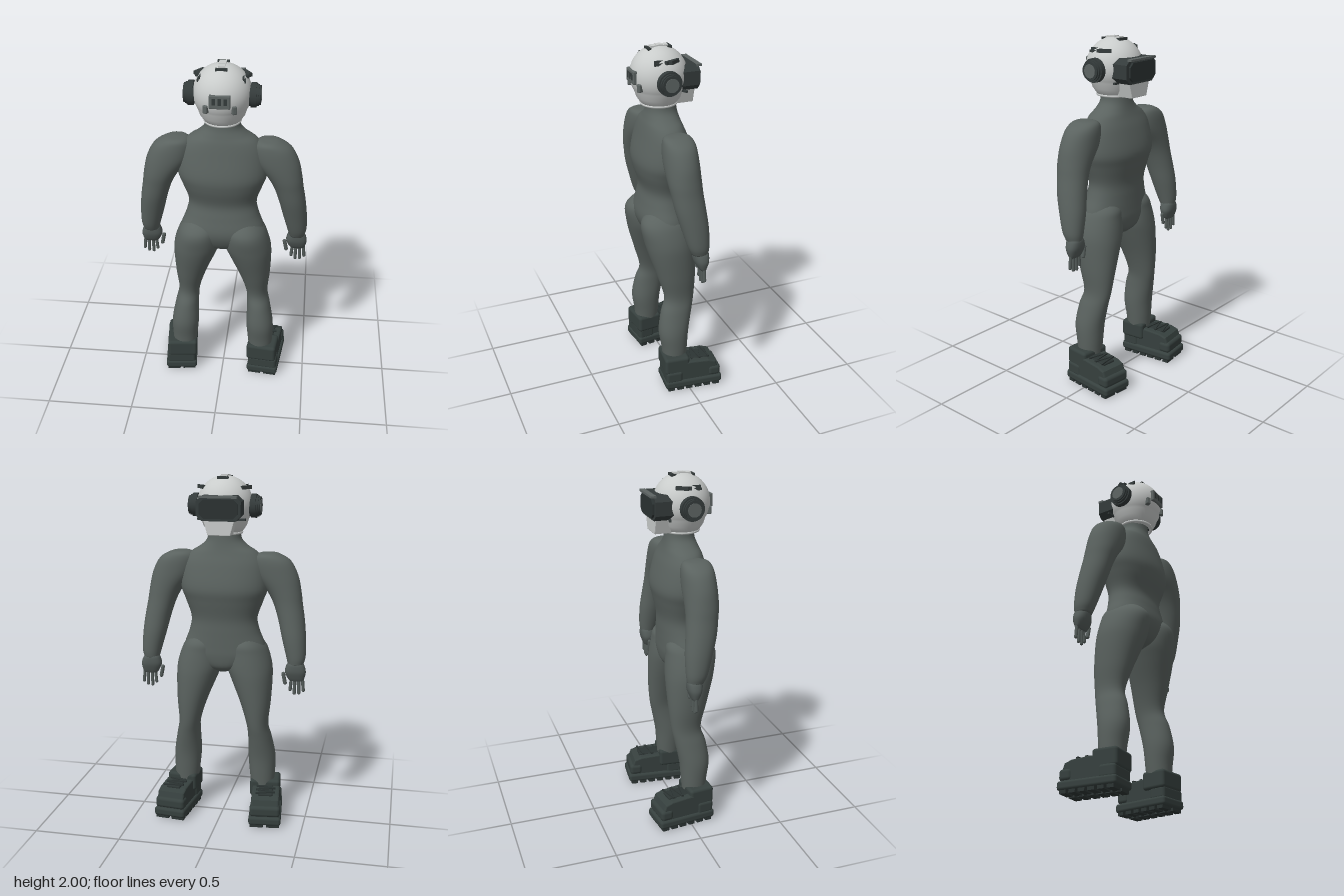
import * as THREE from 'three';
import { RoundedBoxGeometry } from 'three/addons/geometries/RoundedBoxGeometry.js';

const mat = (name, color) => Object.assign(new THREE.MeshStandardMaterial({ color }), { name });

export function createModel() {
  const suit = mat('suit grey', 0x5a625f), boot = mat('boot dark green', 0x36403e), sole = mat('sole dark', 0x2c3433);
  const shell = mat('helmet light grey', 0xc9cccb), trim = mat('trim dark', 0x343b3b), pane = mat('visor glass', 0x2b3232);
  const mid = mat('mid grey', 0x5d6463), skin = mat('glove grey', 0x535b59);
  const model = new THREE.Group();

  const add = (parent, name, geo, material, x = 0, y = 0, z = 0) => {
    const m = new THREE.Mesh(geo, material);
    m.name = name;
    m.position.set(x, y, z);
    parent.add(m);
    return m;
  };
  const box = (w, h, d) => new THREE.BoxGeometry(w, h, d);
  const rbox = (w, h, d, r) => new RoundedBoxGeometry(w, h, d, 3, r);

  // Smooth closed body through rings [y, x0, x1, z0, z1], listed from top to bottom
  function loft(rings, s = 1, power = 2.2, seg = 36) {
    const curve = (a, b) => new THREE.CatmullRomCurve3(
      rings.map(r => new THREE.Vector3(r[0], r[a], r[b])), false, 'catmullrom', 0.5);
    const cx = curve(1, 2), cz = curve(3, 4), rows = (rings.length - 1) * 5;
    const pos = [], idx = [];
    const sp = v => Math.sign(v) * Math.pow(Math.abs(v), 2 / power);
    for (let i = 0; i <= rows; i++) {
      const p = cx.getPoint(i / rows), q = cz.getPoint(i / rows);
      for (let j = 0; j < seg; j++) {
        const a = j / seg * Math.PI * 2;
        pos.push(s * (p.y + p.z) / 2 + sp(Math.cos(a)) * (p.z - p.y) / 2, p.x,
          (q.y + q.z) / 2 + sp(Math.sin(a)) * (q.z - q.y) / 2);
        const k = i * seg + j, n = i * seg + (j + 1) % seg;
        if (i < rows) idx.push(k, n, k + seg, n, n + seg, k + seg);
      }
    }
    // End caps
    for (const [r, row, top] of [[rings[0], 0, true], [rings[rings.length - 1], rows, false]]) {
      const c = pos.length / 3;
      pos.push(s * (r[1] + r[2]) / 2, r[0], (r[3] + r[4]) / 2);
      for (let j = 0; j < seg; j++) {
        const k = row * seg + j, n = row * seg + (j + 1) % seg;
        idx.push(c, top ? n : k, top ? k : n);
      }
    }
    const g = new THREE.BufferGeometry();
    g.setAttribute('position', new THREE.Float32BufferAttribute(pos, 3));
    g.setIndex(idx);
    g.computeVertexNormals();
    return g;
  }

  // Torso and neck
  const sym = (y, x, z0, z1) => [y, -x, x, z0, z1];
  add(model, 'torso', loft([
    sym(1.71, 0.09, -0.035, 0.115), sym(1.65, 0.098, -0.042, 0.122), sym(1.61, 0.135, -0.05, 0.135),
    sym(1.57, 0.195, -0.062, 0.15), sym(1.5, 0.235, -0.087, 0.168), sym(1.38, 0.25, -0.114, 0.194),
    sym(1.3, 0.225, -0.102, 0.186), sym(1.2, 0.192, -0.08, 0.158), sym(1.12, 0.205, -0.078, 0.17),
    sym(1.04, 0.235, -0.078, 0.185), sym(0.98, 0.235, -0.077, 0.175), sym(0.92, 0.14, -0.065, 0.14),
    sym(0.885, 0.04, -0.03, 0.08)]), suit);

  // Limbs, built once per side
  for (const s of [1, -1]) {
    const label = s > 0 ? 'left' : 'right';
    add(model, label + 'Arm', loft([
      [1.577, 0.24, 0.27, 0.03, 0.06], [1.568, 0.19, 0.315, -0.02, 0.115], [1.53, 0.165, 0.378, -0.04, 0.133],
      [1.45, 0.18, 0.42, -0.045, 0.14], [1.36, 0.247, 0.44, -0.045, 0.137], [1.29, 0.285, 0.45, -0.047, 0.127],
      [1.2, 0.315, 0.465, -0.056, 0.112], [1.1, 0.34, 0.476, -0.066, 0.085], [1.0, 0.367, 0.479, -0.066, 0.055],
      [0.95, 0.38, 0.468, -0.06, 0.032]], s, 2.1), suit);
    add(model, label + 'Leg', loft([
      [1.1, 0.06, 0.18, -0.04, 0.13], [1.05, 0.02, 0.228, -0.073, 0.19], [1.0, 0.01, 0.255, -0.08, 0.208],
      [0.92, 0.012, 0.278, -0.088, 0.196], [0.84, 0.042, 0.283, -0.091, 0.177], [0.7, 0.1, 0.277, -0.086, 0.135],
      [0.57, 0.14, 0.266, -0.074, 0.101], [0.48, 0.147, 0.284, -0.056, 0.126], [0.36, 0.146, 0.306, -0.032, 0.143],
      [0.25, 0.155, 0.306, -0.022, 0.128], [0.16, 0.165, 0.3, -0.015, 0.12]], s, 2.1), suit);

    // Glove with four fingers and a thumb
    const hand = new THREE.Group();
    hand.name = label + 'Hand';
    model.add(hand);
    add(hand, 'palm', loft([
      [0.962, 0.382, 0.462, -0.058, 0.02], [0.945, 0.372, 0.474, -0.062, 0.022], [0.91, 0.364, 0.484, -0.06, 0.018],
      [0.875, 0.378, 0.478, -0.048, 0.004], [0.855, 0.392, 0.47, -0.038, -0.01]], s, 2.4, 24), skin);
    [[0.469, 0.8, 0.03], [0.446, 0.783, 0.01], [0.422, 0.78, -0.01], [0.4, 0.8, -0.03]].forEach(([x, tip, lean]) => {
      const f = add(hand, 'finger', new THREE.CapsuleGeometry(0.0095, 0.875 - tip, 4, 10), skin,
        s * x, (0.875 + tip) / 2, -0.024);
      f.rotation.z = s * lean * 3;
    });
    const thumb = add(hand, 'thumb', new THREE.CapsuleGeometry(0.011, 0.055, 4, 10), skin, s * 0.361, 0.866, -0.025);
    thumb.rotation.z = s * 0.2;

    // Chunky boot, toe turned outward
    const b = new THREE.Group();
    b.name = label + 'Boot';
    b.position.set(s * 0.267, 0, -0.035);
    b.rotation.y = -0.11 * s;
    model.add(b);
    add(b, 'sole', rbox(0.188, 0.05, 0.345, 0.016), boot, 0, 0.042, 0);
    for (let i = 0; i < 6; i++)
      for (const e of [-1, 1])
        add(b, 'treadLug', box(0.076, 0.024, 0.038), sole, e * 0.047, 0.012, -0.138 + i * 0.055);
    // Upper from its side profile
    const side = new THREE.Shape([[-0.15, 0.055], [0.13, 0.055], [0.135, 0.11], [0.12, 0.165], [0.02, 0.175],
      [-0.09, 0.168], [-0.128, 0.155], [-0.145, 0.11]].map(p => new THREE.Vector2(-p[0], p[1])));
    const upper = new THREE.ExtrudeGeometry(side, { depth: 0.138, bevelEnabled: true, bevelSize: 0.008, bevelThickness: 0.012, bevelSegments: 3 });
    upper.translate(0, 0, -0.069).rotateY(Math.PI / 2);
    add(b, 'upper', upper, boot);
    add(b, 'toeCap', rbox(0.178, 0.065, 0.075, 0.02), boot, 0, 0.098, -0.127);
    add(b, 'heelCounter', rbox(0.176, 0.075, 0.1, 0.018), boot, 0, 0.09, 0.117);
    add(b, 'ankleCuff', rbox(0.178, 0.105, 0.148, 0.018), boot, -s * 0.008, 0.164, 0.098);
    add(b, 'tongue', rbox(0.085, 0.02, 0.13, 0.008), sole, 0, 0.176, -0.035);
    for (let i = 0; i < 4; i++) {
      const lace = add(b, 'lace', box(0.115, 0.009, 0.009), sole, 0, 0.188, -0.085 + i * 0.027);
      lace.rotation.y = (i % 2 ? -1 : 1) * 0.2;
    }
  }

  // Helmet shell
  const head = new THREE.Group();
  head.name = 'helmet';
  head.position.set(0, 1.84, 0.053);
  model.add(head);
  const profile = [new THREE.Vector2(0.08, -0.162), new THREE.Vector2(0.1, -0.15), new THREE.Vector2(0.122, -0.118)];
  for (let i = 0; i <= 22; i++) {
    const a = -0.55 + i / 22 * (Math.PI / 2 + 0.55);
    profile.push(new THREE.Vector2(Math.max(0, Math.cos(a) * 0.157), Math.sin(a) * 0.157));
  }
  add(head, 'shell', new THREE.LatheGeometry(profile, 48), shell);
  const rim = add(head, 'neckRim', new THREE.TorusGeometry(0.095, 0.008, 8, 40), shell, 0, -0.156, 0);
  rim.rotation.x = Math.PI / 2;

  // Small fittings laid against the shell, facing outward
  const fit = (name, x, y, z, w, h, d, m, roll = 0) => {
    const p = new THREE.Vector3(x, y, z).setLength(0.157);
    const o = add(head, name, box(w, h, d), m, p.x, p.y, p.z);
    o.lookAt(p.clone().multiplyScalar(2));
    o.rotateZ(roll);
  };
  for (let i = -1; i <= 1; i++) fit('crownStrip', 0, 0.15, i * 0.031, 0.038, 0.034, 0.012, shell);
  fit('crownClip', 0, 0.15, -0.054, 0.062, 0.026, 0.014, trim);
  fit('crownClip', 0, 0.145, 0.06, 0.062, 0.016, 0.014, trim);

  for (const s of [1, -1]) {
    // Earphones
    [['earBase', 0.058, 0.166, 0.055, trim], ['earRim', 0.066, 0.166, 0.03, trim],
      ['earCap', 0.052, 0.191, 0.025, trim], ['earDisc', 0.038, 0.203, 0.006, mid]].forEach(([n, r, x, len, m]) => {
      add(head, n, new THREE.CylinderGeometry(r, r, len, 32), m, s * x, -0.008, 0.003).rotation.z = Math.PI / 2;
    });
    // Side clips, vents and cheek slit
    fit('sideClip', s * 0.12, 0.095, -0.035, 0.07, 0.032, 0.02, trim);
    fit('sideClip', s * 0.125, 0.092, -0.002, 0.03, 0.02, 0.018, trim);
    fit('sideVent', s * 0.12, 0.105, 0.048, 0.045, 0.008, 0.014, trim);
    fit('sideVent', s * 0.127, 0.09, 0.05, 0.045, 0.008, 0.014, trim);
    fit('cheekSlit', s * 0.1, -0.08, -0.105, 0.085, 0.012, 0.012, trim, -s * 0.8);
    // Pods beside the rear module
    const pod = add(head, 'rearPod', rbox(0.026, 0.045, 0.03, 0.006), mid, s * 0.073, -0.043, 0.133);
    pod.rotation.y = s * 0.45;
  }

  // Rear module with slots
  add(head, 'rearModule', rbox(0.11, 0.072, 0.034, 0.005), mid, 0, 0.006, 0.146);
  for (let i = -1; i <= 1; i++) add(head, 'rearSlot', box(0.018, 0.036, 0.006), trim, i * 0.03, 0.01, 0.162);

  // Visor: chamfered plates stacked outward
  const plate = (name, w, h, c, z0, z1, y, m) => {
    const sh = new THREE.Shape([[-w + c, -h], [w - c, -h], [w, -h + c], [w, h - c], [w - c, h], [-w + c, h], [-w, h - c], [-w, -h + c]]
      .map(p => new THREE.Vector2(...p)));
    add(head, name, new THREE.ExtrudeGeometry(sh, { depth: z1 - z0, bevelEnabled: false }), m, 0, y, z0);
  };
  plate('visorFrame', 0.124, 0.068, 0.03, -0.188, -0.08, -0.008, trim);
  plate('visorGlass', 0.106, 0.052, 0.024, -0.2, -0.18, -0.01, pane);
  add(head, 'visorBrow', box(0.21, 0.012, 0.03), mid, 0, 0.055, -0.191);

  // Chin guard
  const chin = new THREE.Shape([[-0.085, 0.045], [-0.06, -0.04], [0.06, -0.04], [0.085, 0.045]].map(p => new THREE.Vector2(...p)));
  add(head, 'chinGuard', new THREE.ExtrudeGeometry(chin, { depth: 0.09, bevelEnabled: true, bevelSize: 0.004, bevelThickness: 0.004, bevelSegments: 2 }),
    shell, 0, -0.112, -0.172);
  return model;
}
